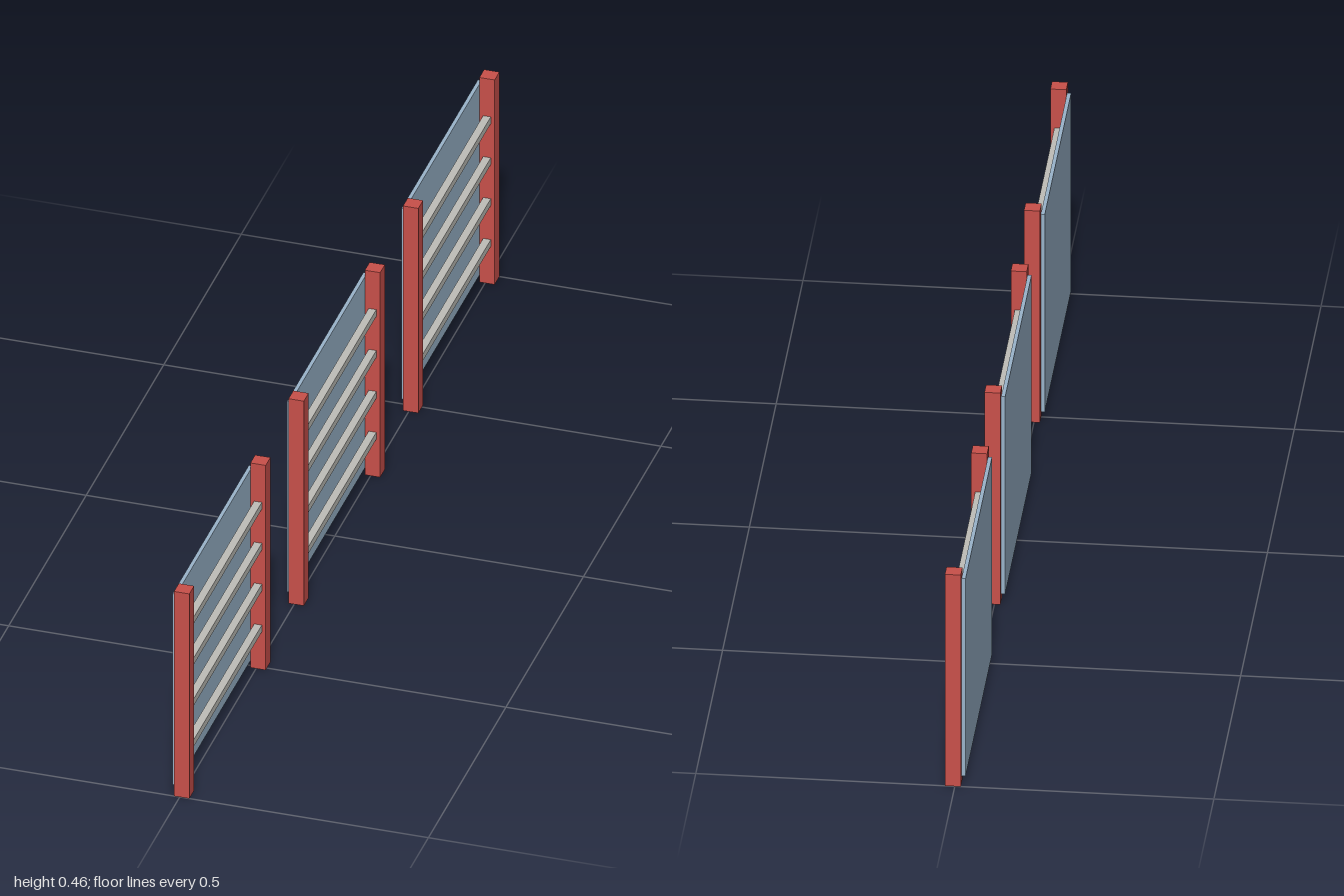
import * as THREE from 'three';

const U = 2 / 65; // post thickness, the module for all other sizes

export function createModel() {
  const model = new THREE.Group();
  model.name = 'fenceSections';

  const red = new THREE.MeshStandardMaterial({ color: 0xc9504a });
  red.name = 'red';
  const blue = new THREE.MeshStandardMaterial({ color: 0x9ab4cb });
  blue.name = 'paleBlue';
  const grey = new THREE.MeshStandardMaterial({ color: 0xbfbeb8 });
  grey.name = 'lightGrey';

  // Box with size and centre given in modules
  const box = (parent, name, material, size, centre) => {
    const mesh = new THREE.Mesh(new THREE.BoxGeometry(...size.map(v => v * U)), material);
    mesh.position.set(...centre.map(v => v * U));
    mesh.name = name;
    parent.add(mesh);
  };

  for (const offset of [-24, 0, 24]) {
    const section = new THREE.Group();
    section.name = 'fenceSection';
    section.position.z = offset * U;
    model.add(section);

    // Two end posts
    for (const side of [-1, 1]) {
      box(section, 'post', red, [1, 15, 1], [0.125, 7.5, side * 8]);
    }
    // Four rails between the posts
    for (let i = 1; i <= 4; i++) {
      box(section, 'rail', grey, [0.5, 0.5, 15], [0.125, i * 3, 0]);
    }
    // Sheet fixed to the outer face of the posts
    box(section, 'panel', blue, [0.25, 14, 16], [-0.5, 7.5, 0]);
  }
  return model;
}
